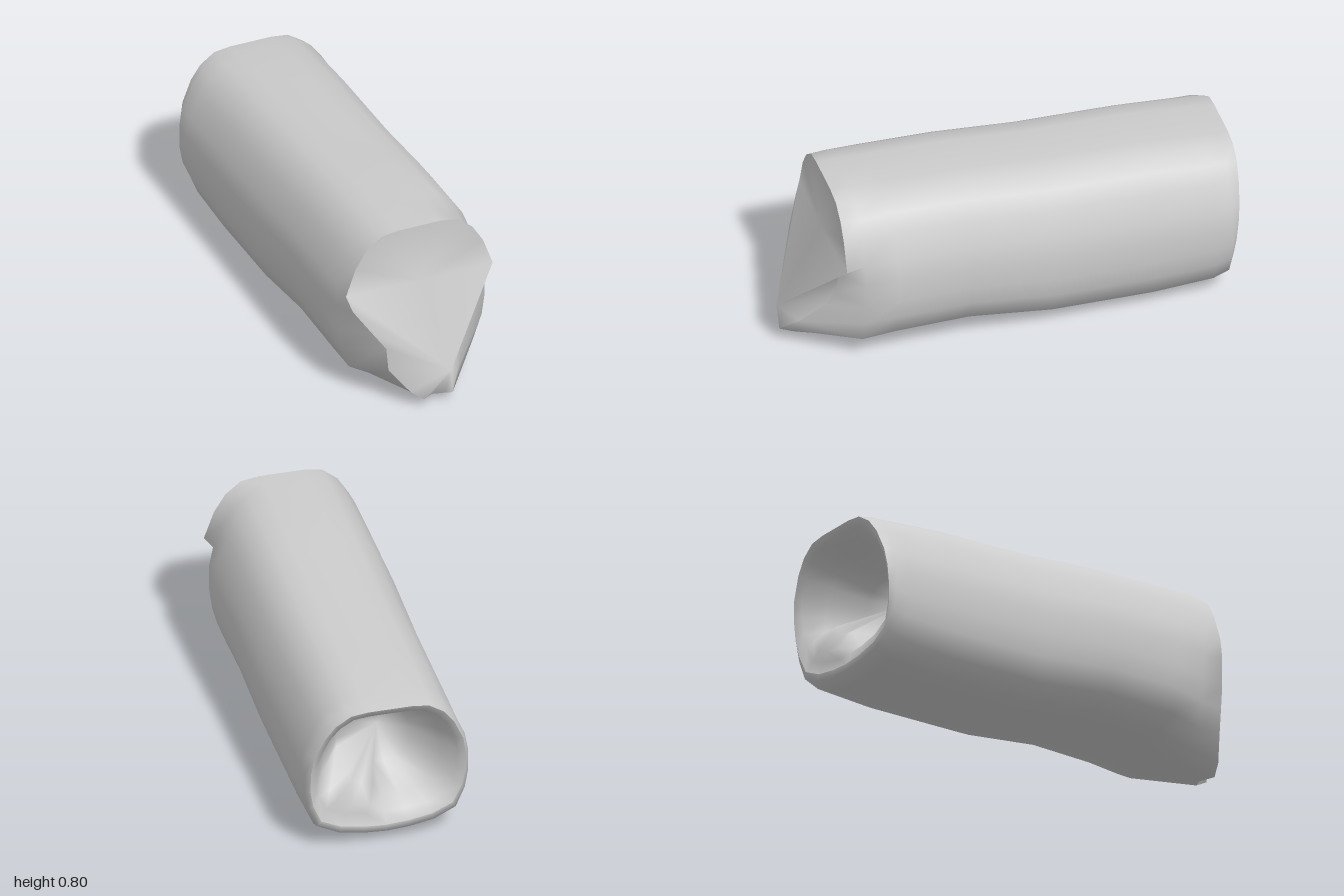
import * as THREE from 'three';

const N = 24;
const material = new THREE.MeshStandardMaterial({ color: 0xcccccc, side: THREE.DoubleSide });

// Half cross-section from top centre to bottom centre: [x, height fraction]
const HALF = [[0, 1], [0.1, 1], [0.18, 0.985], [0.25, 0.915], [0.3, 0.815], [0.345, 0.66], [0.36, 0.53],
  [0.36, 0.38], [0.345, 0.25], [0.305, 0.11], [0.21, 0.04], [0.1, 0.01], [0, 0]];

// Full ring, clockwise seen from the front; fn(x, v, index, side) gives a point
function ring(fn) {
  return Array.from({ length: N }, (_, i) => {
    const side = i <= 12 ? 1 : -1;
    const k = i <= 12 ? i : N - i;
    return fn(HALF[k][0] * side, HALF[k][1], k, side);
  });
}

const section = (z, top, bottom) => ring((x, v) => [x, bottom + v * (top - bottom), z]);

function makeMesh(name, points, index) {
  const geometry = new THREE.BufferGeometry();
  geometry.setAttribute('position', new THREE.Float32BufferAttribute(points.flat(), 3));
  geometry.setIndex(index);
  geometry.computeVertexNormals();
  const mesh = new THREE.Mesh(geometry, material);
  mesh.name = name;
  return mesh;
}

// Skin between consecutive rings, with an optional closing point at the end
function loft(name, rings, end) {
  const index = [];
  for (let r = 0; r < rings.length - 1; r++) {
    for (let i = 0; i < N; i++) {
      const j = (i + 1) % N;
      const a = r * N + i, b = r * N + j, c = a + N, d = b + N;
      index.push(a, b, c, b, d, c);
    }
  }
  const points = rings.flat();
  if (end) {
    const base = (rings.length - 1) * N;
    for (let i = 0; i < N; i++) index.push(points.length, base + i, base + (i + 1) % N);
    points.push(end);
  }
  return makeMesh(name, points, index);
}

export function createModel() {
  const group = new THREE.Group();
  group.name = 'hollowLog';

  // Front outline: flat upper face, lower half drawn in to a lopsided snout
  const leftSnout = [[0.24, 0.45, 0.78], [0.21, 0.33, 0.79], [0.18, 0.25, 0.82], [0.12, 0.14, 0.92],
    [0.06, 0.07, 0.99], [0.05, 0.035, 0.93], [0, 0.03, 0.91]];
  const rightSnout = [[-0.32, 0.46, 0.8], [-0.25, 0.36, 0.85], [-0.2, 0.29, 0.88], [-0.19, 0.18, 0.88],
    [-0.11, 0.08, 0.93], [-0.055, 0.04, 0.95]];
  const lip = ring((x, v, k, side) => k < 6
    ? [x * 0.99, 0.8 * v, 0.775]
    : (side > 0 ? leftSnout : rightSnout)[k - 6]);

  // Neck ring with a dent in the left shoulder
  const neck = ring((x, v, k, side) => {
    const dent = side > 0 && k > 1 && k < 6 ? 0.94 : 1;
    const taper = k > 5 && k < 12 ? 0.95 : 1;
    return [x * dent * taper, 0.4 + (0.03 + v * 0.77 - 0.4) * dent, 0.69];
  });

  // Rear rim leans forward towards the bottom
  const rimZ = (v) => -1 + 0.06 * (1 - v);
  const shrunk = (s, z) => ring((x, v, k, side) =>
    [x * s, 0.4 + (v - 0.5) * 0.62 * s, z(v, k, side)]);
  const rim = ring((x, v) => [x * 0.95, 0.08 + v * 0.62, rimZ(v)]);

  group.add(loft('body', [
    lip, neck,
    section(0.55, 0.796, 0.055),
    section(0.22, 0.785, 0.06),
    section(-0.15, 0.755, 0.01),
    section(-0.6, 0.74, 0),
    section(-0.87, 0.715, 0.018),
    section(-0.94, 0.71, 0.05),
    rim,
  ]));

  // Front face and snout: two fans meeting along a horizontal fold
  const fold = N, tip = N + 1;
  const index = [tip, fold, 19, tip, 5, fold];
  for (let i = 0; i < N; i++) {
    index.push(i >= 5 && i < 19 ? tip : fold, (i + 1) % N, i);
  }
  group.add(makeMesh('snout', [...lip, [0, 0.53, 0.785], [0.05, 0.19, 1]], index));

  // Rear hollow, with a shallow flap filling its lower left
  const isFlap = (k, side) => side > 0 && k > 7 && k < 12;
  group.add(loft('rearHollow', [
    rim,
    shrunk(0.86, (v) => rimZ(v) + 0.02),
    shrunk(0.72, (v, k, side) => (isFlap(k, side) ? -0.93 : -0.86)),
    shrunk(0.45, (v, k, side) => (isFlap(k, side) ? -0.88 : -0.72)),
  ], [-0.03, 0.42, -0.66]));

  return group;
}
